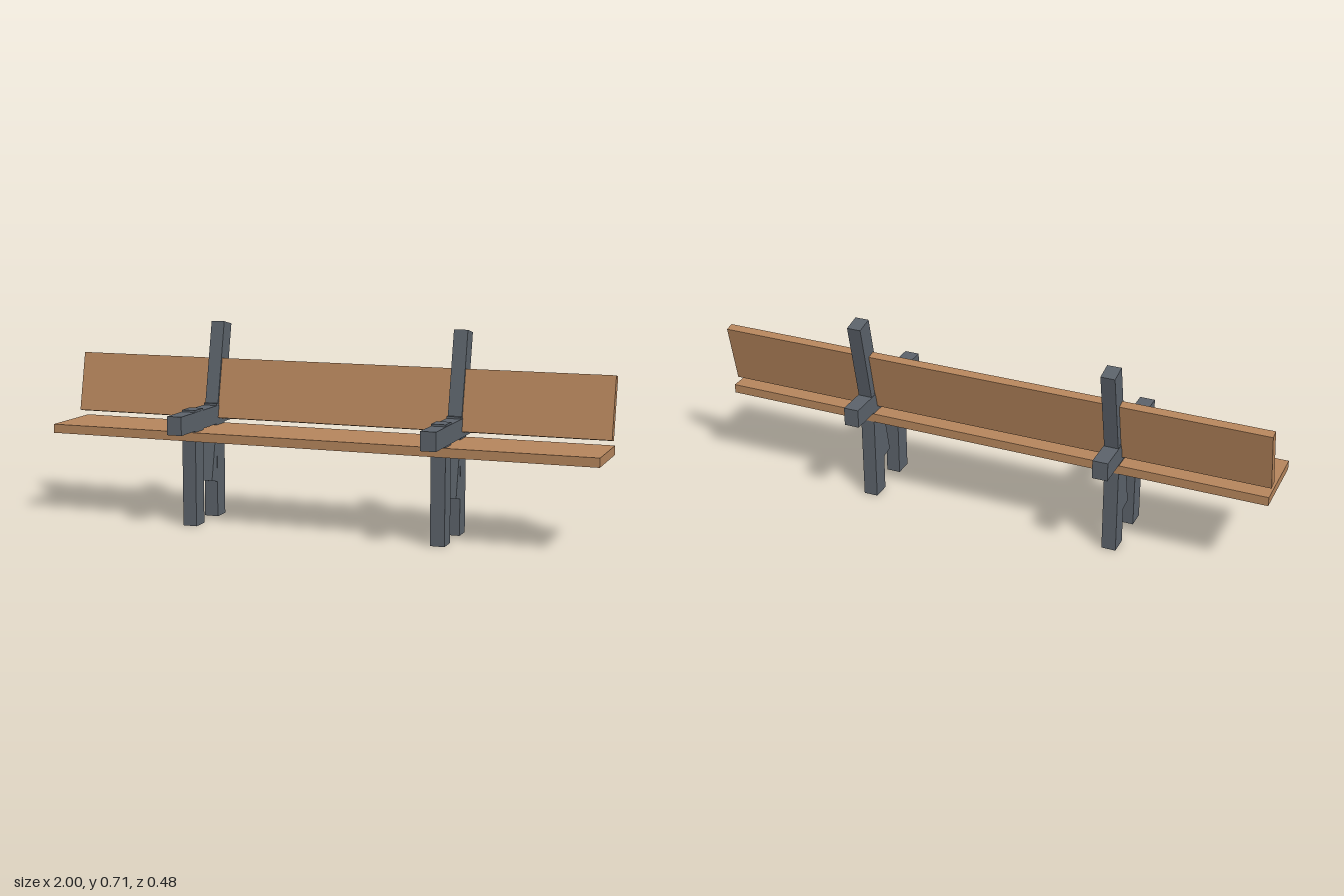
import * as THREE from 'three';

const TILT = -0.2095; // backward lean of posts and backrest

export function createModel() {
  const bench = new THREE.Group();
  bench.name = 'bench';
  const wood = new THREE.MeshStandardMaterial({ color: 0xb5855c });
  const metal = new THREE.MeshStandardMaterial({ color: 0x5b626a });

  function addBox(parent, name, material, size, position, tilt = 0) {
    const mesh = new THREE.Mesh(new THREE.BoxGeometry(...size), material);
    mesh.name = name;
    mesh.position.set(...position);
    mesh.rotation.x = tilt;
    parent.add(mesh);
  }

  // Long planks
  addBox(bench, 'seat', wood, [2, 0.032, 0.257], [0, 0.322, 0.0045]);
  addBox(bench, 'backrest', wood, [2, 0.2175, 0.032], [0, 0.467, -0.104], TILT);

  // Two identical support frames
  for (const [name, x] of [['rightFrame', -0.461], ['leftFrame', 0.456]]) {
    const frame = new THREE.Group();
    frame.name = name;
    frame.position.x = x;
    addBox(frame, 'frontLeg', metal, [0.051, 0.416, 0.066], [0, 0.208, 0.092]);
    addBox(frame, 'backLeg', metal, [0.051, 0.416, 0.066], [0, 0.208, -0.091]);
    addBox(frame, 'crossBeam', metal, [0.054, 0.066, 0.483], [0, 0.376, 0]);
    addBox(frame, 'leaningPost', metal, [0.05, 0.582, 0.065], [0, 0.4175, -0.1035], TILT);
    bench.add(frame);
  }
  return bench;
}
